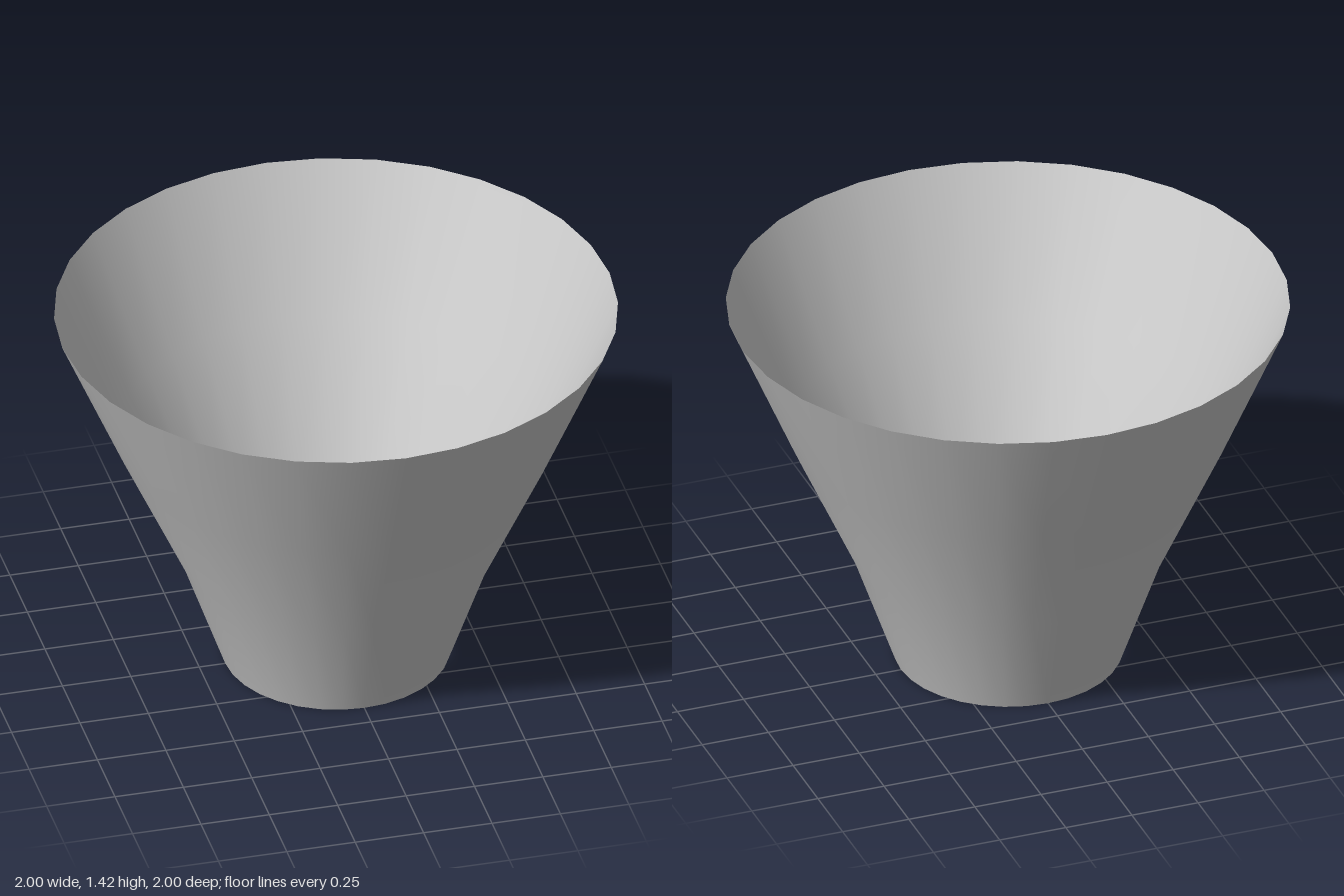
import * as THREE from 'three';

export function createModel() {
  const group = new THREE.Group();
  group.name = 'openFunnel';

  // Thin flared wall, open at both ends, widening in three gentle steps
  const profile = [
    [0.405, 0],
    [0.55, 0.41],
    [0.775, 0.9],
    [1, 1.42],
  ].map(([r, y]) => new THREE.Vector2(r, y));

  const material = new THREE.MeshStandardMaterial({ color: 0xcccccc, side: THREE.DoubleSide });
  const wall = new THREE.Mesh(new THREE.LatheGeometry(profile, 32), material);
  wall.name = 'flaredWall';
  group.add(wall);

  return group;
}
